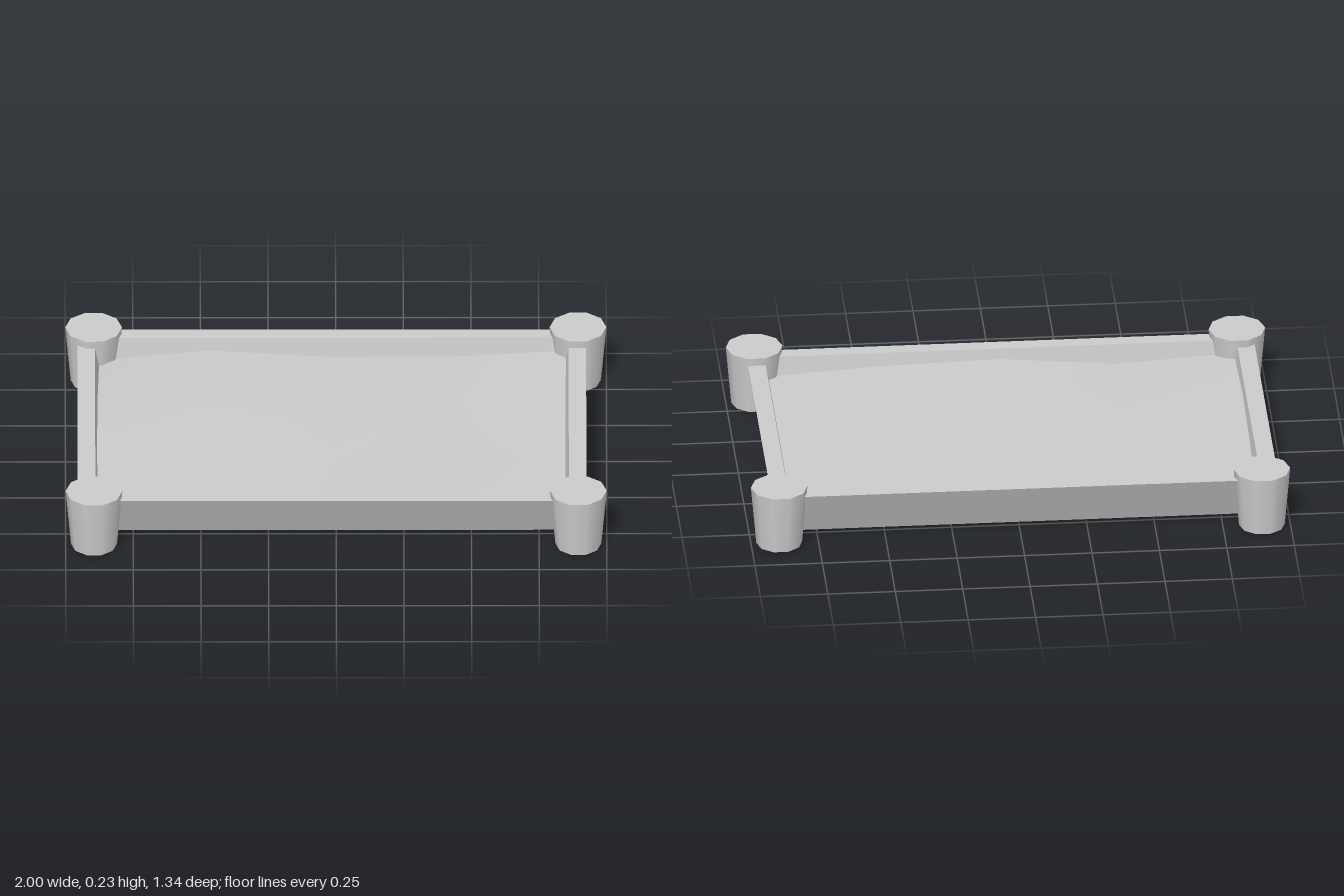
import * as THREE from 'three';

const mat = new THREE.MeshStandardMaterial({ color: 0xcccccc, side: THREE.DoubleSide });

// Folded rim plank, open below: outer face leaning inward to its foot, flat top, short inner lip
function plank(name, distance, width, length, angle) {
  const section = [
    [distance - 0.085, 0.02], [distance, 0.2], [distance - width, 0.2], [distance - width - 0.022, 0.08],
  ];
  const h = length / 2;
  const points = [];
  for (let i = 0; i < 3; i++) {
    const [a, b] = [section[i], section[i + 1]];
    points.push(...a, -h, ...b, -h, ...b, h, ...a, -h, ...b, h, ...a, h);
  }
  const geo = new THREE.BufferGeometry();
  geo.setAttribute('position', new THREE.Float32BufferAttribute(points, 3));
  geo.rotateY(angle);
  geo.computeVertexNormals();
  const mesh = new THREE.Mesh(geo, mat);
  mesh.name = name;
  return mesh;
}

// Tapered ten-sided post, hollow and open at the bottom
function cornerPost(x, z) {
  const post = new THREE.Group();
  post.name = 'cornerPost';
  const profile = [[0.085, 0], [0.105, 0.23]].map(([r, y]) => new THREE.Vector2(r, y));
  const side = new THREE.Mesh(new THREE.LatheGeometry(profile, 10, Math.PI / 2), mat);
  side.name = 'postSide';
  const top = new THREE.Mesh(new THREE.CircleGeometry(0.105, 10).rotateX(-Math.PI / 2), mat);
  top.name = 'postTop';
  top.position.y = 0.23;
  post.add(side, top);
  post.position.set(x, 0, z);
  return post;
}

// Uneven sand sheet, rows running from back to front
function sandSheet() {
  const heights = [
    [0.11, 0.15, 0.125, 0.125, 0.15],
    [0.15, 0.15, 0.14, 0.135, 0.135],
    [0.165, 0.145, 0.15, 0.145, 0.13],
    [0.15, 0.125, 0.16, 0.15, 0.125],
  ];
  const geo = new THREE.PlaneGeometry(1.77, 1.085, 4, 3).rotateX(-Math.PI / 2);
  geo.translate(-0.015, 0, -0.005);
  const pos = geo.attributes.position;
  for (let i = 0; i < pos.count; i++) pos.setY(i, heights[Math.floor(i / 5)][i % 5]);
  geo.computeVertexNormals();
  const mesh = new THREE.Mesh(geo, mat);
  mesh.name = 'sand';
  return mesh;
}

export function createModel() {
  const group = new THREE.Group();
  group.name = 'sandbox';
  // Planks end just inside the posts
  group.add(
    plank('leftPlank', 0.925, 0.065, 1.02, 0),
    plank('backPlank', 0.6, 0.058, 1.67, Math.PI / 2),
    plank('rightPlank', 0.955, 0.065, 1.02, Math.PI),
    plank('frontPlank', 0.59, 0.055, 1.67, -Math.PI / 2),
    sandSheet(),
  );
  for (const x of [-0.895, 0.895]) for (const z of [-0.568, 0.568]) group.add(cornerPost(x, z));
  return group;
}
